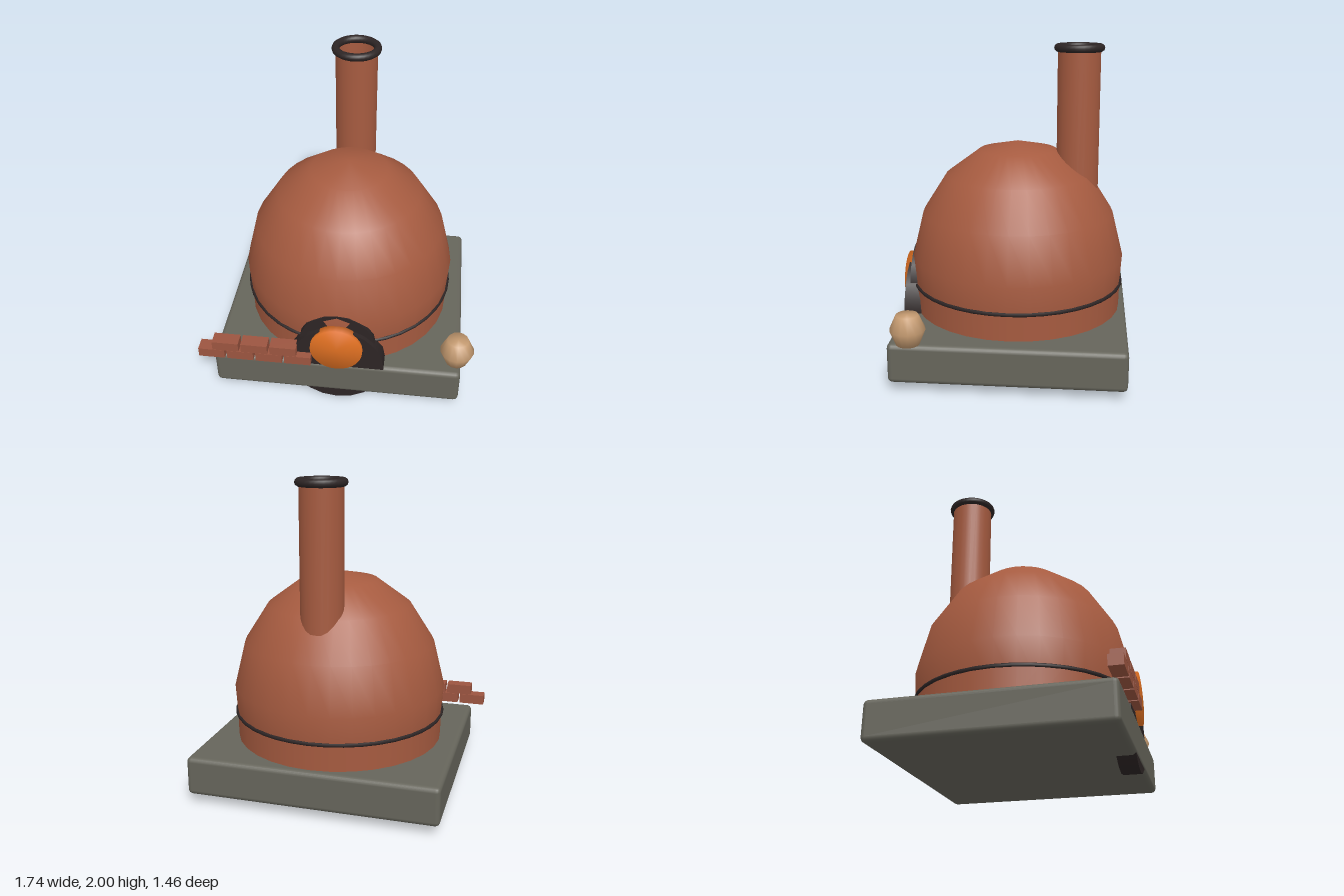
import * as THREE from 'three';
import { RoundedBoxGeometry } from 'three/addons/geometries/RoundedBoxGeometry.js';
import { mergeVertices } from 'three/addons/utils/BufferGeometryUtils.js';

const material = (name, color, side = THREE.FrontSide) => {
  const m = new THREE.MeshStandardMaterial({ color, side });
  m.name = name;
  return m;
};

export function createModel() {
  const group = new THREE.Group();
  const clay = material('terracotta', 0xa65b40, THREE.DoubleSide);
  const brick = material('brick', 0x9c5540);
  const stone = material('stone', 0x66655b);
  const iron = material('dark iron', 0x2d2525);
  const fire = material('ember orange', 0xe07022);
  const wood = material('pale wood', 0xc49a70);

  const add = (name, geometry, mat, x, y, z) => {
    const mesh = new THREE.Mesh(geometry, mat);
    mesh.name = name;
    mesh.position.set(x, y, z);
    group.add(mesh);
    return mesh;
  };
  // Disc facing the front, between two z values
  const disc = (name, radius, y, back, front, sides, mat) => {
    const g = new THREE.CylinderGeometry(radius, radius, front - back, sides).rotateX(Math.PI / 2);
    return add(name, g, mat, 0.005, y, (front + back) / 2);
  };

  // Stone slab
  add('baseSlab', new RoundedBoxGeometry(1.58, 0.245, 1.42, 2, 0.03), stone, 0, 0.182, -0.02);

  // Drum and domed oven body
  const cx = 0.005, cz = -0.02;
  add('drum', new THREE.CylinderGeometry(0.672, 0.668, 0.17, 32, 1, true), clay, cx, 0.385, cz);
  const dome = new THREE.SphereGeometry(0.687, 32, 5, 0, Math.PI * 2, 0, Math.PI * 0.583);
  dome.scale(1, 0.83 / 0.687, 1);
  add('dome', dome, clay, cx, 0.56, cz);

  // Thin iron band round the body
  const band = new THREE.TorusGeometry(0.674, 0.012, 6, 40).rotateX(Math.PI / 2);
  add('band', band, iron, cx, 0.475, cz);

  // Open chimney with a rolled rim
  add('chimney', new THREE.CylinderGeometry(0.133, 0.133, 0.97, 24, 1, true), clay, cx, 1.485, -0.4);
  const rim = new THREE.TorusGeometry(0.132, 0.025, 10, 32).rotateX(Math.PI / 2);
  add('chimneyRim', rim, iron, cx, 1.975, -0.4);

  // Oven mouth: two dark discs and a glowing one with softened edges
  disc('mouthSurround', 0.3, 0.303, 0.57, 0.685, 20, iron);
  disc('mouthHood', 0.24, 0.455, 0.57, 0.655, 20, iron);
  const glow = disc('fireGlow', 0.165, 0.455, 0.645, 0.708, 28, fire);
  glow.geometry.deleteAttribute('normal');
  glow.geometry.deleteAttribute('uv');
  glow.geometry = mergeVertices(glow.geometry);
  glow.geometry.computeVertexNormals();

  // Two staggered rows of bricks
  const brickShape = new THREE.BoxGeometry(0.168, 0.065, 0.085);
  [[4, -0.79, 0.358], [3, -0.697, 0.425]].forEach(([count, x, y]) => {
    for (let i = 0; i < count; i++) add('brick', brickShape, brick, x + i * 0.184, y, 0.69);
  });

  // Rounded wooden knob on the slab corner
  const profile = [[0, -0.095], [0.07, -0.093], [0.107, 0], [0.067, 0.09], [0, 0.092]]
    .map(([r, y]) => new THREE.Vector2(r, y));
  add('woodenKnob', new THREE.LatheGeometry(profile, 14), wood, 0.76, 0.4, 0.562);

  return group;
}
